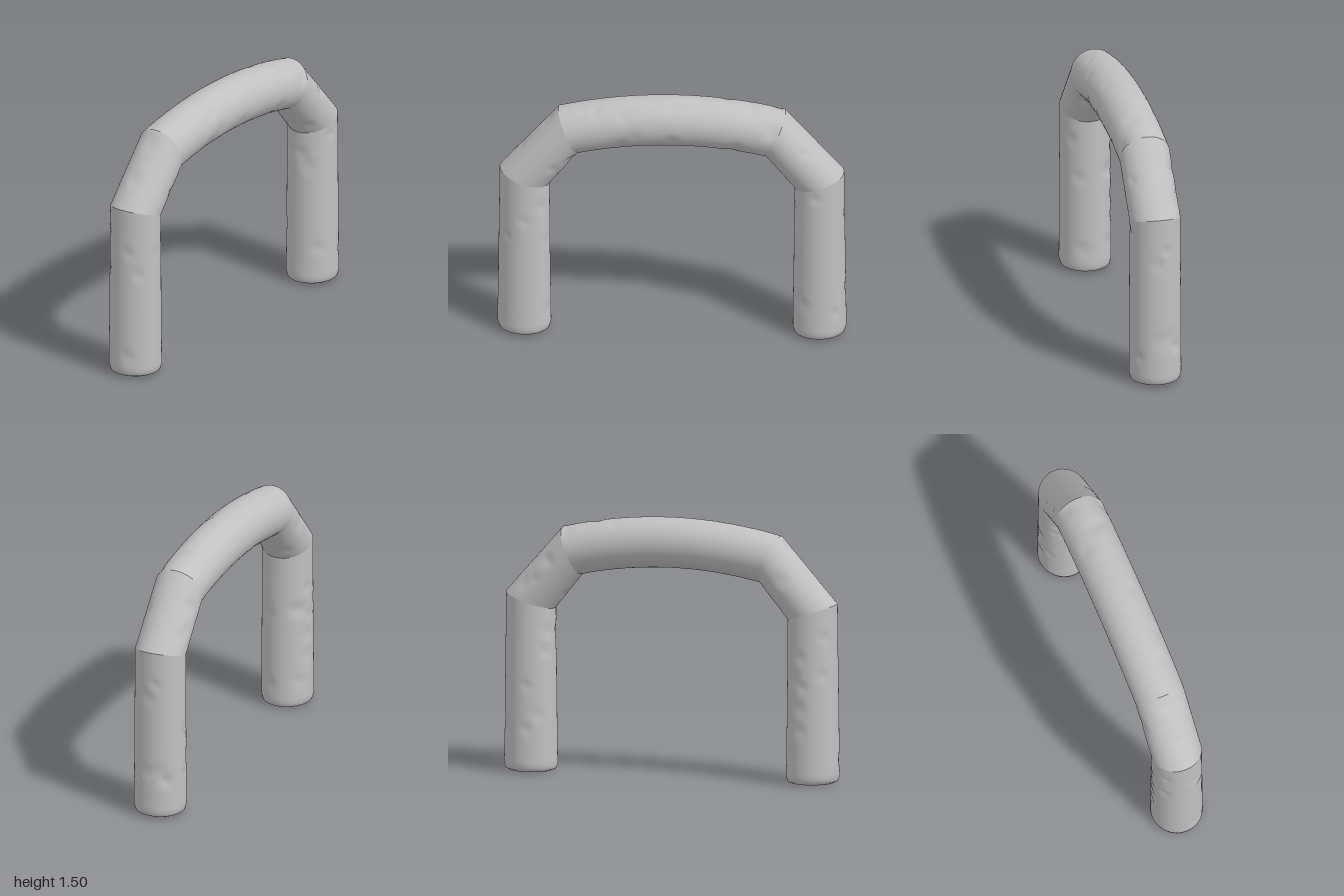
import * as THREE from 'three';

const SIDES = 56;
const STEP = 0.022;

// Each section is [outerX, outerY, innerX, innerY, half depth in z]
const LEG = [
  [-0.845, 0.0, -0.845, 0.0, 0],
  [-0.965, 0.008, -0.72, 0.006, 0.122],
  [-0.99, 0.02, -0.697, 0.016, 0.142],
  [-0.998, 0.05, -0.69, 0.045, 0.15],
  [-0.992, 0.5, -0.696, 0.48, 0.148],
  [-0.985, 1.04, -0.70, 0.945, 0.146],
];
const SHOULDER = [LEG[5], [-0.65, 1.42, -0.535, 1.15, 0.146]];
const TOP = Array.from({ length: 17 }, (_, i) => {
  const s = i / 8 - 1;
  return [0.65 * s, 1.5 - 0.08 * s * s, 0.535 * s, 1.21 - 0.06 * s * s, 0.146];
});
const mirrored = (list) =>
  list.map(([ox, oy, ix, iy, z]) => [-ox, oy, -ix, iy, z]).reverse();

function seeded(seed) {
  return () => (seed = (seed * 16807) % 2147483647) / 2147483647;
}

// Adds rows between sections so the shallow dents have vertices to move
function subdivide(list) {
  const rows = [list[0]];
  for (let i = 1; i < list.length; i++) {
    const a = list[i - 1], b = list[i];
    const length = Math.hypot(b[0] - a[0], b[1] - a[1]);
    const n = Math.max(1, Math.ceil(length / STEP));
    for (let k = 1; k <= n; k++) rows.push(a.map((v, c) => v + (b[c] - v) * k / n));
  }
  return rows;
}

// Lofts oval rings through the sections
function tubeGeometry(sections) {
  const rows = subdivide(sections);
  const positions = [], index = [];
  rows.forEach(([ox, oy, ix, iy, depth], i) => {
    for (let j = 0; j < SIDES; j++) {
      const a = j / SIDES * Math.PI * 2, c = Math.cos(a) / 2;
      positions.push(
        (ox + ix) / 2 + c * (ox - ix),
        (oy + iy) / 2 + c * (oy - iy),
        Math.sin(a) * depth);
      if (i === rows.length - 1) continue;
      const k = (j + 1) % SIDES, p = i * SIDES, q = p + SIDES;
      index.push(p + j, p + k, q + j, p + k, q + k, q + j);
    }
  });
  const geometry = new THREE.BufferGeometry();
  geometry.setAttribute('position', new THREE.Float32BufferAttribute(positions, 3));
  geometry.setIndex(index);
  geometry.computeVertexNormals();
  return geometry;
}

// Presses small conical dents into the skin, leaving the end rings in place
function addDents(geometry, count, random) {
  const position = geometry.attributes.position;
  const normal = geometry.attributes.normal;
  const source = position.clone();
  const centre = new THREE.Vector3(), point = new THREE.Vector3();
  for (let d = 0; d < count; d++) {
    centre.fromBufferAttribute(source, Math.floor(random() * source.count));
    const radius = 0.04 + 0.025 * random();
    if (centre.y < 0.12) continue;
    for (let i = SIDES; i < source.count - SIDES; i++) {
      const distance = point.fromBufferAttribute(source, i).distanceTo(centre);
      if (distance > radius) continue;
      const depth = 0.007 * (1 - distance / radius);
      position.setXYZ(i,
        position.getX(i) - normal.getX(i) * depth,
        position.getY(i) - normal.getY(i) * depth,
        position.getZ(i) - normal.getZ(i) * depth);
    }
  }
  geometry.computeVertexNormals();
  return geometry;
}

export function createModel() {
  const group = new THREE.Group();
  group.name = 'arch';
  const grey = new THREE.MeshStandardMaterial({ color: 0xc0c0c0 });
  grey.name = 'light grey';
  const random = seeded(4711);

  // Separate tubes keep the mitred joints crisp
  const parts = [
    ['rightLeg', LEG, 18],
    ['rightShoulder', SHOULDER, 7],
    ['topBar', TOP, 18],
    ['leftShoulder', mirrored(SHOULDER), 7],
    ['leftLeg', mirrored(LEG), 18],
  ];
  for (const [name, sections, dents] of parts) {
    const mesh = new THREE.Mesh(addDents(tubeGeometry(sections), dents, random), grey);
    mesh.name = name;
    group.add(mesh);
  }
  return group;
}
